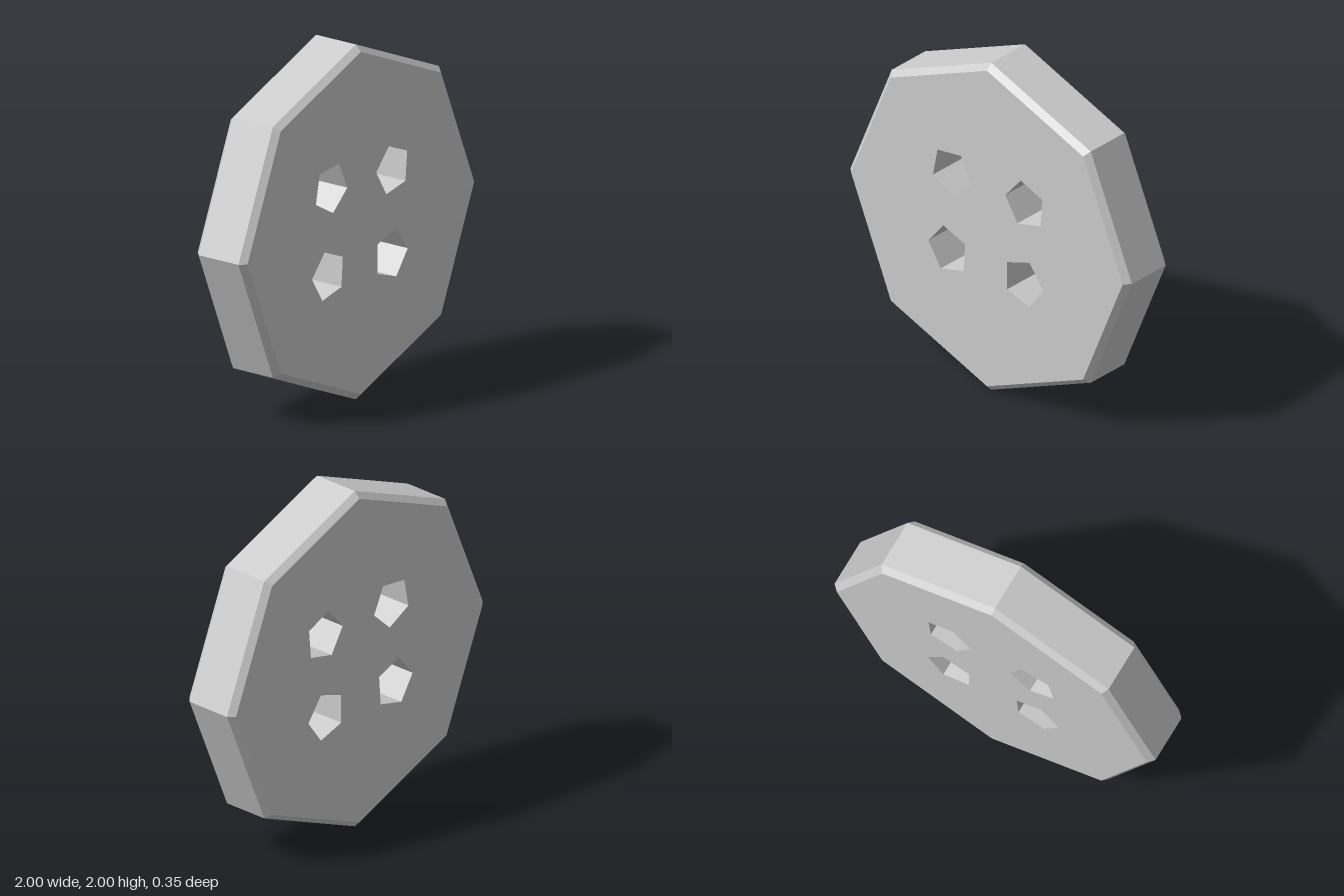
import * as THREE from 'three';

const HALF = 0.173;   // half thickness
const BEVEL = 0.035;  // rim chamfer
const HOLE_R = 0.142;

// Thread holes: centre x, centre y (from the disc centre), turn in degrees
const HOLES = [
  [-0.255, 0.255, 61],
  [0.272, 0.24, 31],
  [-0.275, -0.228, 32],
  [0.257, -0.238, 0],
];

// Corners of a regular polygon
function polygon(sides, r, cx = 0, cy = 0, turn = 0) {
  return Array.from({ length: sides }, (_, i) => {
    const a = THREE.MathUtils.degToRad(turn) + (i / sides) * Math.PI * 2;
    return new THREE.Vector2(cx + r * Math.cos(a), cy + r * Math.sin(a));
  });
}

// Faceted ring around the z axis, with its first corner on +x
function ring(profile, sides) {
  const points = profile.map(([r, h]) => new THREE.Vector2(r, h));
  return new THREE.LatheGeometry(points, sides).rotateX(Math.PI / 2).rotateZ(Math.PI / 2);
}

export function createModel() {
  const model = new THREE.Group();
  model.name = 'button';
  const grey = new THREE.MeshStandardMaterial({ color: 0xcccccc, flatShading: true });
  grey.name = 'light grey';

  const disc = new THREE.Group();
  disc.name = 'disc';
  disc.position.y = 1;
  model.add(disc);

  const add = (name, geometry) => {
    const mesh = new THREE.Mesh(geometry, grey);
    mesh.name = name;
    disc.add(mesh);
    return mesh;
  };

  // Octagonal rim with a chamfer on both sides
  add('rim', ring([
    [1 - BEVEL, -HALF], [1, -HALF + BEVEL], [1, HALF - BEVEL], [1 - BEVEL, HALF],
  ], 8));

  // Flat faces pierced by the four holes; the back one is mirrored in x before it is turned round
  for (const side of [1, -1]) {
    const shape = new THREE.Shape(polygon(8, 1 - BEVEL));
    for (const [x, y, turn] of HOLES) {
      const corners = polygon(5, HOLE_R, x, y, turn).map((p) => new THREE.Vector2(p.x * side, p.y));
      shape.holes.push(new THREE.Path(corners));
    }
    const face = add(side > 0 ? 'frontFace' : 'backFace', new THREE.ShapeGeometry(shape));
    face.position.z = side * HALF;
    if (side < 0) face.rotation.y = Math.PI;
  }

  // Inward-facing walls of the pentagonal holes
  for (const [x, y, turn] of HOLES) {
    const wall = add('threadHole', ring([[HOLE_R, HALF], [HOLE_R, -HALF]], 5));
    wall.position.set(x, y, 0);
    wall.rotation.z = THREE.MathUtils.degToRad(turn);
  }

  return model;
}
